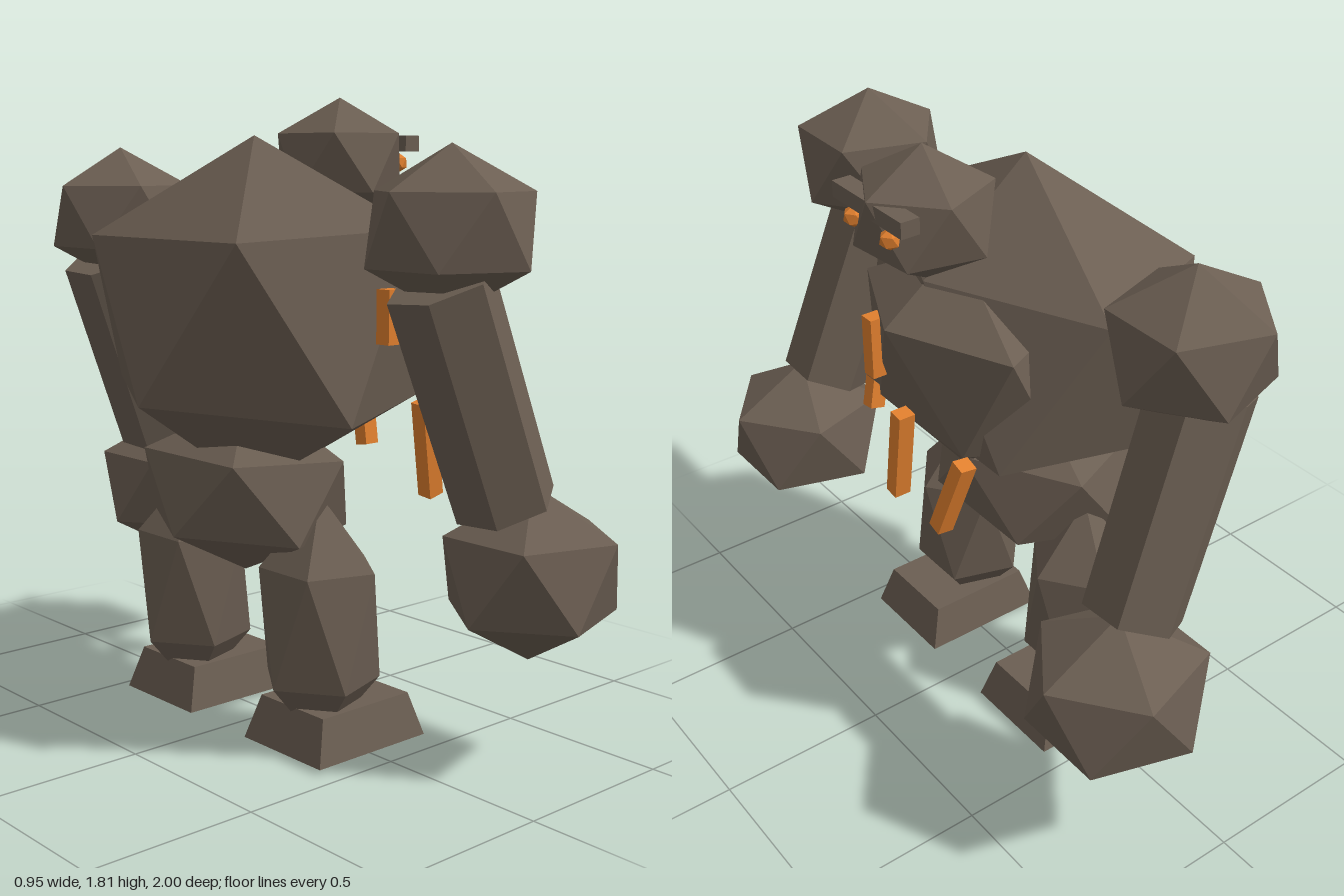
import * as THREE from 'three';

// Twelve-point rock standing on one tip, with two offset rings of five points.
// Points: 0 top, 1-5 upper ring, 6-10 lower ring, 11 bottom; nudges move single points.
function rockGeometry(size, nudges = {}) {
  const pts = [[0, 1, 0]];
  const ring = (offset, y) => {
    for (let i = 0; i < 5; i++) {
      const a = offset + (i * Math.PI * 2) / 5;
      pts.push([0.8944 * Math.cos(a), y, 0.8944 * Math.sin(a)]);
    }
  };
  ring(0, 0.4472);
  ring(Math.PI / 5, -0.4472);
  pts.push([0, -1, 0]);
  const faces = [];
  for (let i = 0; i < 5; i++) {
    const j = (i + 1) % 5;
    const u = 1 + i, u2 = 1 + j, l = 6 + i, l2 = 6 + j;
    faces.push(0, u2, u, u, u2, l, l, u2, l2, 11, l, l2);
  }
  const coords = pts.flatMap((p, n) => p.map((v, k) => v * size[k] + (nudges[n]?.[k] ?? 0)));
  const indexed = new THREE.BufferGeometry();
  indexed.setAttribute('position', new THREE.Float32BufferAttribute(coords, 3));
  indexed.setIndex(faces);
  const geo = indexed.toNonIndexed();
  geo.computeVertexNormals();
  return geo;
}

export function createModel() {
  const model = new THREE.Group();
  model.name = 'stoneGolem';
  const stone = new THREE.MeshStandardMaterial({ color: 0x6b5e52, flatShading: true });
  stone.name = 'brown stone';
  const ember = new THREE.MeshStandardMaterial({ color: 0xe07f2e, flatShading: true });
  ember.name = 'orange crystal';

  const add = (name, geo, mat, pos) => {
    const mesh = new THREE.Mesh(geo, mat);
    mesh.name = name;
    mesh.position.set(...pos);
    model.add(mesh);
    return mesh;
  };
  const rock = (name, pos, size, { yaw = 0, nudges = {}, mat = stone } = {}) => {
    add(name, rockGeometry(size, nudges), mat, pos).rotation.y = yaw;
  };
  // Stretch a part between two points
  const between = (name, from, to, mat, makeGeo) => {
    const a = new THREE.Vector3(...from), b = new THREE.Vector3(...to);
    const dir = b.clone().sub(a);
    const mesh = add(name, makeGeo(dir.length()), mat, a.clone().add(b).multiplyScalar(0.5).toArray());
    mesh.quaternion.setFromUnitVectors(new THREE.Vector3(0, 1, 0), dir.normalize());
  };
  const shard = (from, to) =>
    between('crystalShard', from, to, ember, (h) => new THREE.BoxGeometry(0.05, h, 0.045));

  // Body, slightly uneven
  rock('torso', [-0.065, 1.2, 0], [0.456, 0.5, 0.61], {
    nudges: {
      1: [-0.07, 0, 0], 2: [0, 0.03, -0.01], 5: [-0.03, -0.015, 0.04],
      7: [0, -0.02, 0.015], 9: [0, 0.015, 0.04],
    },
  });
  rock('chest', [0.16, 1.155, 0], [0.268, 0.345, 0.4], {
    nudges: { 1: [0, 0.01, 0], 6: [-0.05, -0.01, -0.02], 10: [-0.05, -0.01, 0] },
  });
  rock('pelvis', [-0.1, 0.71, 0], [0.29, 0.245, 0.38]);

  // Head, facing +x
  rock('head', [0.27, 1.625, -0.01], [0.205, 0.187, 0.207], { yaw: 0.1 });
  add('brow', new THREE.BoxGeometry(0.055, 0.045, 0.312), stone, [0.414, 1.68, -0.01]);

  for (const s of [1, -1]) {
    rock('eye', [0.425, 1.625, s * 0.083 - 0.006], [0.03, 0.03, 0.03], { mat: ember });

    // Arms
    rock('shoulder', [-0.024, 1.46, s * 0.705], [0.243, 0.213, 0.24], { yaw: 0.62 });
    between('arm', [0.16, 0.745, s * 0.747], [-0.07, 1.33, s * 0.715], stone,
      (h) => new THREE.CylinderGeometry(0.142, 0.138, h, 6));
    rock('fist', [0.232, 0.555, s * 0.778], [0.27, 0.238, 0.26]);

    // Legs
    rock('leg', [-0.068, 0.365, s * 0.283], [0.19, 0.36, 0.19]);

    // Feet: boxes narrowed towards the top
    const footGeo = new THREE.BoxGeometry(0.402, 0.125, 0.316);
    const p = footGeo.attributes.position;
    for (let i = 0; i < p.count; i++) {
      if (p.getY(i) > 0) p.setXYZ(i, p.getX(i) * 0.81, p.getY(i), p.getZ(i) * 0.81);
    }
    footGeo.computeVertexNormals();
    add('foot', footGeo, stone, [-0.008, 0.08, s * 0.282]);

    // Crystals set into the inner side of the arms
    shard([-0.1, 1.17, s * 0.573], [-0.1, 1.31, s * 0.573]);
  }

  // Crystals on the chest and the left side
  shard([0.36, 1.12, 0.112], [0.36, 1.3, 0.112]);
  shard([0.366, 0.78, 0.02], [0.366, 1.06, -0.02]);
  shard([0.36, 0.77, -0.18], [0.327, 1.0, -0.25]);
  shard([0.143, 0.735, 0.497], [0.075, 1.0, 0.53]);
  shard([0.045, 1.25, 0.532], [0.045, 1.5, 0.527]);

  return model;
}
